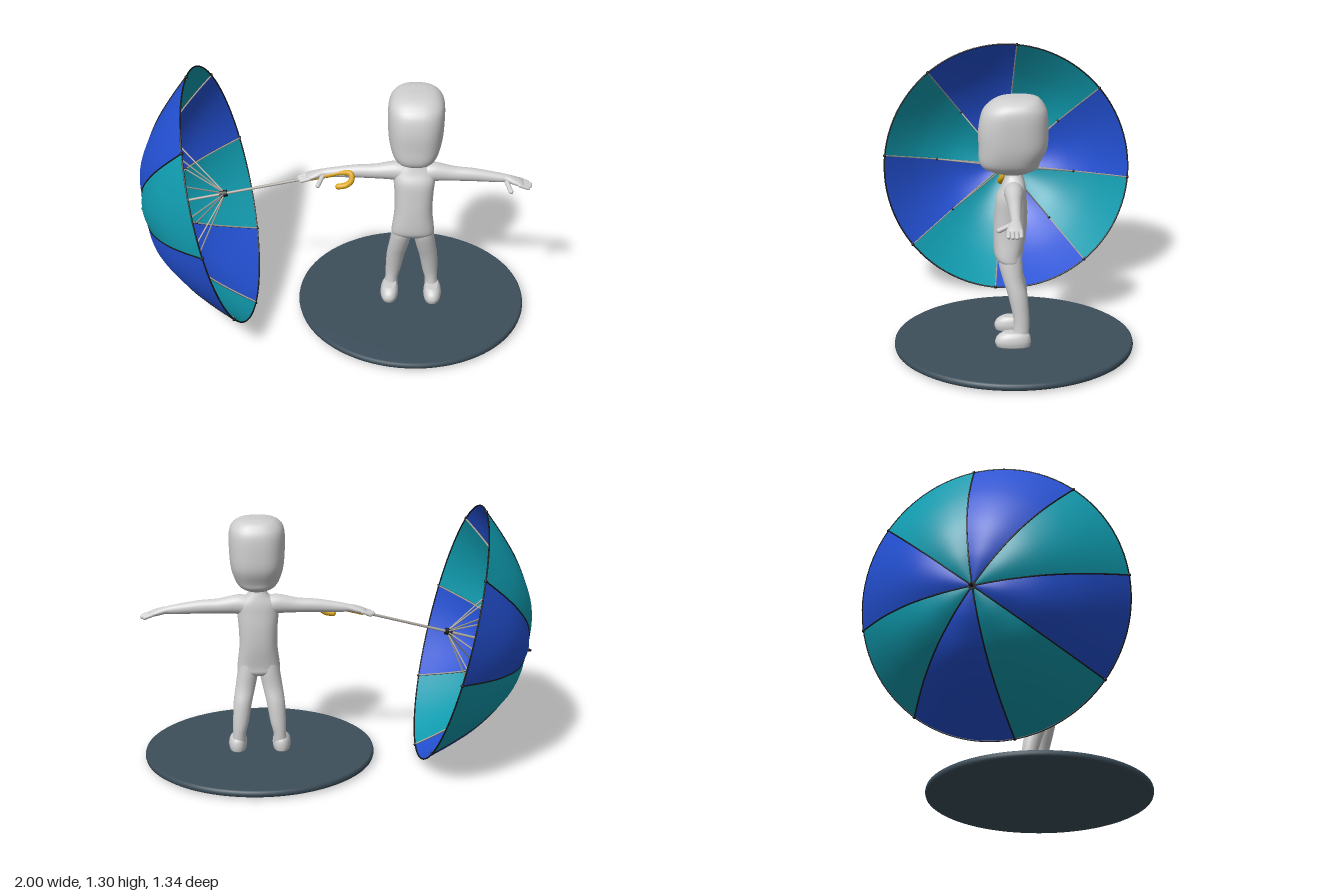
import * as THREE from 'three';

const mat = (name, color, double) => {
  const m = new THREE.MeshStandardMaterial({ color });
  m.name = name;
  if (double) m.side = THREE.DoubleSide;
  return m;
};
const V = (x, y, z) => new THREE.Vector3(x, y, z);

// Catmull-Rom interpolation of ring rows
function refine(rows, steps) {
  const out = [];
  for (let i = 0; i < rows.length - 1; i++) {
    const [p, a, b, q] = [rows[Math.max(i - 1, 0)], rows[i], rows[i + 1], rows[Math.min(i + 2, rows.length - 1)]];
    for (let s = 0; s < steps; s++) {
      const t = s / steps;
      out.push(a.map((_, k) => 0.5 * (2 * a[k] + (b[k] - p[k]) * t
        + (2 * p[k] - 5 * a[k] + 4 * b[k] - q[k]) * t * t
        + (3 * a[k] - p[k] - 3 * b[k] + q[k]) * t * t * t)));
    }
  }
  out.push(rows[rows.length - 1]);
  return out;
}

// Closed body through superellipse rings: [position, centreA, halfA, centreB, halfB]
function loft(rows, place, { power = 2, flip = false, sides = 28, steps = 4 } = {}) {
  const rings = refine(rows, steps), pos = [], idx = [];
  const bend = v => Math.sign(v) * Math.abs(v) ** (2 / power);
  for (const [t, ca, ha, cb, hb] of rings) {
    for (let j = 0; j < sides; j++) {
      const w = j / sides * Math.PI * 2;
      pos.push(...place(t, ca + ha * bend(Math.cos(w)), cb + hb * bend(Math.sin(w))));
    }
  }
  const tri = (a, b, c) => (flip ? idx.push(a, c, b) : idx.push(a, b, c));
  const last = rings.length - 1, at = (i, j) => i * sides + j % sides;
  for (let i = 0; i < last; i++) {
    for (let j = 0; j < sides; j++) {
      tri(at(i, j), at(i + 1, j), at(i, j + 1));
      tri(at(i + 1, j), at(i + 1, j + 1), at(i, j + 1));
    }
  }
  for (const i of [0, last]) {
    const c = pos.length / 3, [t, ca, , cb] = rings[i];
    pos.push(...place(t, ca, cb));
    for (let j = 0; j < sides; j++) i ? tri(c, at(i, j + 1), at(i, j)) : tri(c, at(i, j), at(i, j + 1));
  }
  const g = new THREE.BufferGeometry();
  g.setAttribute('position', new THREE.Float32BufferAttribute(pos, 3));
  g.setIndex(idx);
  g.computeVertexNormals();
  return g;
}

export function createModel() {
  const root = new THREE.Group();
  root.name = 'figureWithUmbrella';
  const skin = mat('bodyGrey', 0xcfcfcf), slate = mat('baseSlate', 0x3d4f5b);
  const teal = mat('canopyTeal', 0x109bae, true), blue = mat('canopyBlue', 0x2350d2, true);
  const black = mat('trimBlack', 0x15181c), metal = mat('metalGrey', 0xa8a49c);
  const yellow = mat('handleYellow', 0xdba512);

  const add = (parent, name, geo, material) => {
    const m = new THREE.Mesh(geo, material);
    m.name = name;
    parent.add(m);
    return m;
  };
  const rod = (parent, name, a, b, r, material, round = false) => {
    const d = b.clone().sub(a), len = d.length();
    const geo = round ? new THREE.CapsuleGeometry(r, len, 5, 12) : new THREE.CylinderGeometry(r, r, len, 8);
    const m = add(parent, name, geo, material);
    m.position.copy(a).add(b).multiplyScalar(0.5);
    m.quaternion.setFromUnitVectors(V(0, 1, 0), d.normalize());
    return m;
  };

  // Round base with softened edge
  const baseProfile = [[0, 0.015], [0.58, 0.015], [0.588, 0.02], [0.591, 0.032], [0.588, 0.045], [0.58, 0.05], [0, 0.05]];
  const base = add(root, 'base', new THREE.LatheGeometry(baseProfile.map(p => new THREE.Vector2(...p)), 80), slate);
  base.position.set(0.405, 0, -0.015);

  // Figure
  const figure = new THREE.Group();
  figure.name = 'figure';
  figure.position.x = 0.405;
  root.add(figure);
  const upright = (t, a, b) => [a, t, b];
  add(figure, 'head', loft([
    [0.9, 0, 0.05, -0.01, 0.06], [0.925, 0, 0.09, 0, 0.125], [0.96, 0, 0.114, 0.005, 0.147],
    [1.03, 0, 0.133, -0.01, 0.165], [1.12, 0, 0.14, -0.012, 0.168], [1.2, 0, 0.139, -0.018, 0.157],
    [1.242, 0, 0.124, -0.026, 0.13], [1.268, 0, 0.09, -0.035, 0.095], [1.278, 0, 0.04, -0.04, 0.045],
  ], upright, { power: 2.6, sides: 40 }), skin);
  add(figure, 'torso', loft([
    [0.445, 0, 0.07, 0, 0.04], [0.465, 0, 0.106, 0.005, 0.06], [0.5, 0, 0.108, 0.012, 0.07],
    [0.6, 0, 0.097, 0.005, 0.08], [0.7, 0, 0.099, 0, 0.08], [0.78, 0, 0.105, -0.002, 0.074],
    [0.83, 0, 0.1, -0.012, 0.06], [0.87, 0, 0.06, -0.015, 0.048], [0.9, 0, 0.042, -0.015, 0.04],
    [0.94, 0, 0.04, -0.015, 0.04],
  ], upright, { power: 2.4 }), skin);

  for (const s of [1, -1]) {
    const side = s > 0 ? 'left' : 'right';
    const mirrored = rows => rows.map(([t, c, ...rest]) => [t, c * s, ...rest]);
    add(figure, side + 'Leg', loft(mirrored([
      [0.09, 0.107, 0.035, -0.045, 0.04], [0.14, 0.104, 0.033, -0.05, 0.038], [0.2, 0.096, 0.04, -0.048, 0.04],
      [0.3, 0.085, 0.047, -0.032, 0.047], [0.38, 0.07, 0.051, -0.01, 0.05],
      [0.46, 0.056, 0.053, 0.003, 0.058], [0.52, 0.05, 0.05, 0.005, 0.055],
    ]), upright), skin);
    add(figure, side + 'Foot', loft(mirrored([
      [0.05, 0.113, 0.042, -0.01, 0.083], [0.075, 0.113, 0.047, -0.008, 0.088],
      [0.103, 0.112, 0.042, -0.012, 0.08], [0.122, 0.11, 0.03, -0.02, 0.06],
    ]), upright, { power: 2.3 }), skin);
    add(figure, side + 'Arm', loft([
      [0.03, -0.012, 0.05, 0.81, 0.055], [0.1, -0.012, 0.046, 0.823, 0.05], [0.2, -0.012, 0.036, 0.815, 0.038],
      [0.3, -0.012, 0.031, 0.811, 0.034], [0.42, -0.012, 0.025, 0.8, 0.025], [0.46, -0.012, 0.023, 0.797, 0.019],
      [0.49, -0.008, 0.03, 0.79, 0.019], [0.53, -0.005, 0.036, 0.779, 0.016], [0.55, -0.005, 0.03, 0.773, 0.01],
    ], (t, a, b) => [s * t, b, a], { flip: s < 0 }), skin);
    for (let i = 0; i < 4; i++) {
      const z = -0.033 + i * 0.019, reach = [0.57, 0.584, 0.582, 0.572][i];
      rod(figure, side + 'Finger' + (i + 1), V(s * 0.53, 0.778, z), V(s * reach, 0.763, z), 0.0105, skin, true);
    }
    rod(figure, side + 'Thumb', V(s * 0.465, 0.785, 0.01), V(s * 0.485, 0.765, 0.065), 0.012, skin, true);
  }

  // Umbrella, built upright with its tip along +y, then tilted sideways
  const umbrella = new THREE.Group();
  umbrella.name = 'umbrella';
  umbrella.position.set(-0.575, 0.655, 0);
  umbrella.rotation.z = 1.818;
  root.add(umbrella);
  const profile = new THREE.SplineCurve([[0.004, 0.39], [0.09, 0.385], [0.18, 0.367], [0.32, 0.312],
    [0.46, 0.214], [0.57, 0.107], [0.664, 0]].map(p => new THREE.Vector2(...p))).getPoints(24);
  const R = 0.664, step = Math.PI / 4, start = 0.094 + Math.PI / 2;
  const polar = (r, h, a) => V(r * Math.sin(a), h, r * Math.cos(a));
  for (let k = 0; k < 8; k++) {
    const a = start + k * step;
    // Cloth panel, bulging softly between its ribs
    const panel = new THREE.LatheGeometry(profile, 12, a, step), p = panel.attributes.position;
    for (let i = 0; i < p.count; i++) {
      const r = Math.hypot(p.getX(i), p.getZ(i)) / R, across = Math.floor(i / profile.length) / 12;
      p.setY(i, p.getY(i) + 0.014 * Math.sin(Math.PI * across) * Math.sin(Math.PI * Math.min(r, 1)));
    }
    panel.computeVertexNormals();
    add(umbrella, 'canopyPanel' + (k + 1), panel, k % 2 ? blue : teal);
    // Seam outside, rib inside, stretcher and end cap
    const along = drop => new THREE.CatmullRomCurve3(profile.map(q => polar(q.x, q.y + drop, a)));
    add(umbrella, 'seam', new THREE.TubeGeometry(along(0.001), 30, 0.004, 6), black);
    add(umbrella, 'rib', new THREE.TubeGeometry(along(-0.007), 30, 0.004, 6), metal);
    rod(umbrella, 'stretcher', polar(0.015, -0.005, a), polar(0.385, 0.264, a), 0.004, metal);
    add(umbrella, 'ribJoint', new THREE.SphereGeometry(0.008, 8, 6), black).position.copy(polar(0.385, 0.262, a));
    add(umbrella, 'ribTip', new THREE.SphereGeometry(0.009, 10, 8), black).position.copy(polar(R, 0, a));
  }
  const rim = add(umbrella, 'rim', new THREE.TorusGeometry(R, 0.004, 6, 96), black);
  rim.rotation.x = Math.PI / 2;
  rod(umbrella, 'shaft', V(0, -0.55, 0), V(0, 0.39, 0), 0.007, metal);
  rod(umbrella, 'runner', V(0, -0.025, 0), V(0, 0.012, 0), 0.018, black);
  rod(umbrella, 'crown', V(0, 0.35, 0), V(0, 0.396, 0), 0.02, black);
  rod(umbrella, 'tip', V(0, 0.385, 0), V(0, 0.43, 0), 0.008, black, true);

  // Hooked handle running along the forearm
  const hook = new THREE.CatmullRomCurve3([V(-0.13, 0.767, 0), V(-0.04, 0.789, 0), V(0.04, 0.81, 0.004),
    V(0.085, 0.813, 0.02), V(0.088, 0.783, 0.037), V(0.06, 0.758, 0.043), V(0.022, 0.75, 0.044)]);
  add(root, 'handle', new THREE.TubeGeometry(hook, 48, 0.015, 12), yellow);
  add(root, 'handleEnd', new THREE.SphereGeometry(0.015, 12, 8), yellow).position.copy(hook.getPoint(1));
  return root;
}
